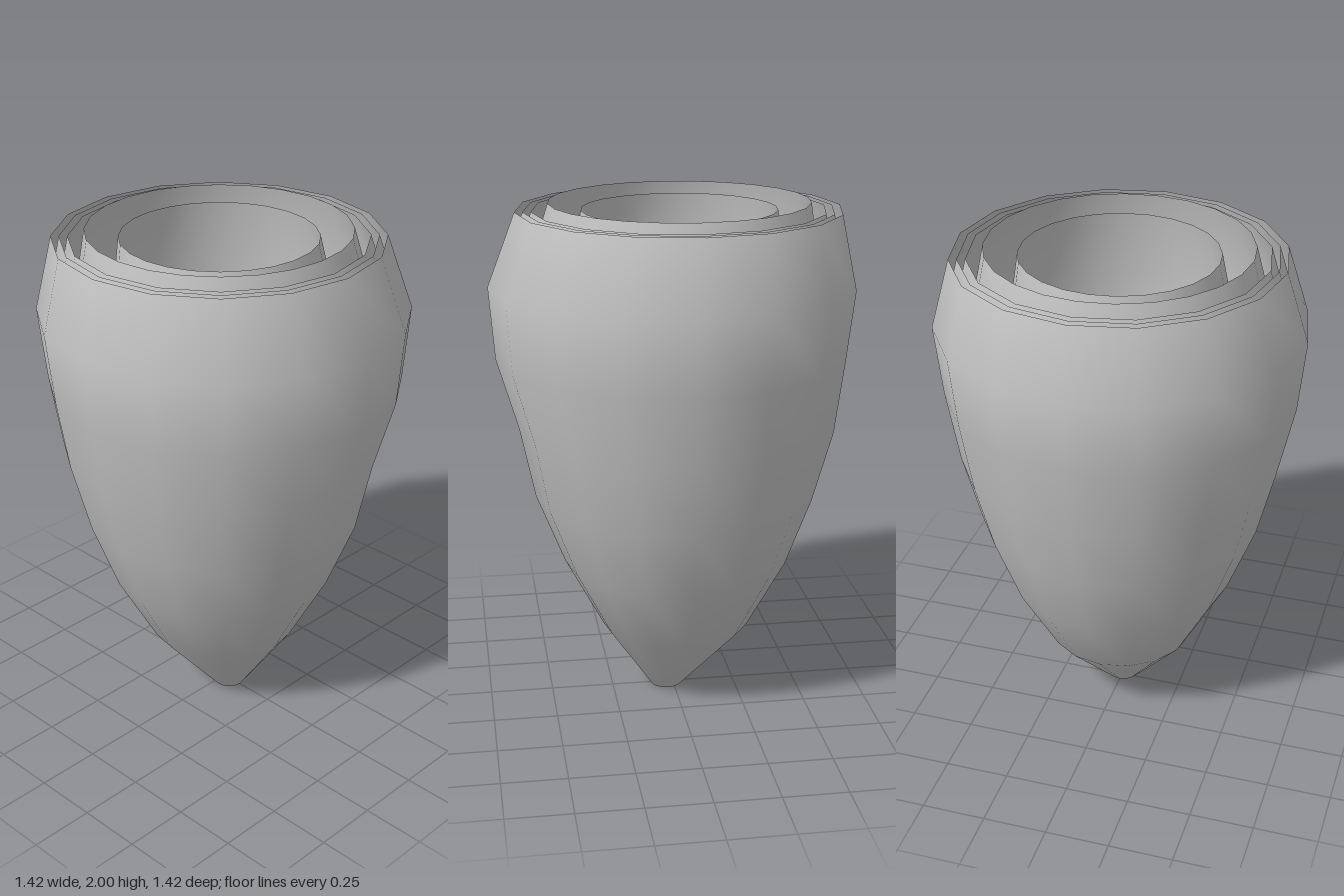
import * as THREE from 'three';

// Radius and sideways drift of each evenly spaced ring, bottom to top
const RADII = [0.063, 0.296, 0.448, 0.555, 0.623, 0.682, 0.709, 0.625];
const DRIFT = [0.028, -0.01, -0.012, -0.008, -0.018, 0.005, -0.001, -0.026];
const HEIGHT = 1.97;

const grey = new THREE.MeshStandardMaterial({ color: 0xc4c4c4, side: THREE.DoubleSide });
grey.name = 'grey';

// One open, tapering shell; its rings are shifted along x by the drift
function shell(name, scale, sides, lift = 0) {
  const rings = RADII.length;
  const profile = RADII.map((r, i) => new THREE.Vector2(r * scale, lift + (HEIGHT * i) / (rings - 1)));
  const geometry = new THREE.LatheGeometry(profile, sides);
  const pos = geometry.attributes.position;
  for (let i = 0; i < pos.count; i++) pos.setX(i, pos.getX(i) + DRIFT[i % rings]);
  const mesh = new THREE.Mesh(geometry, grey);
  mesh.name = name;
  return mesh;
}

export function createModel() {
  const group = new THREE.Group();
  group.name = 'nestedShells';
  // Three close outer layers, then two finer inner ones
  group.add(
    shell('outerShell', 1, 16),
    shell('secondShell', 0.95, 16),
    shell('thirdShell', 0.9, 16),
    shell('raisedInnerShell', 0.8, 24, 0.03),
    shell('coreShell', 0.6, 24),
  );
  return group;
}
